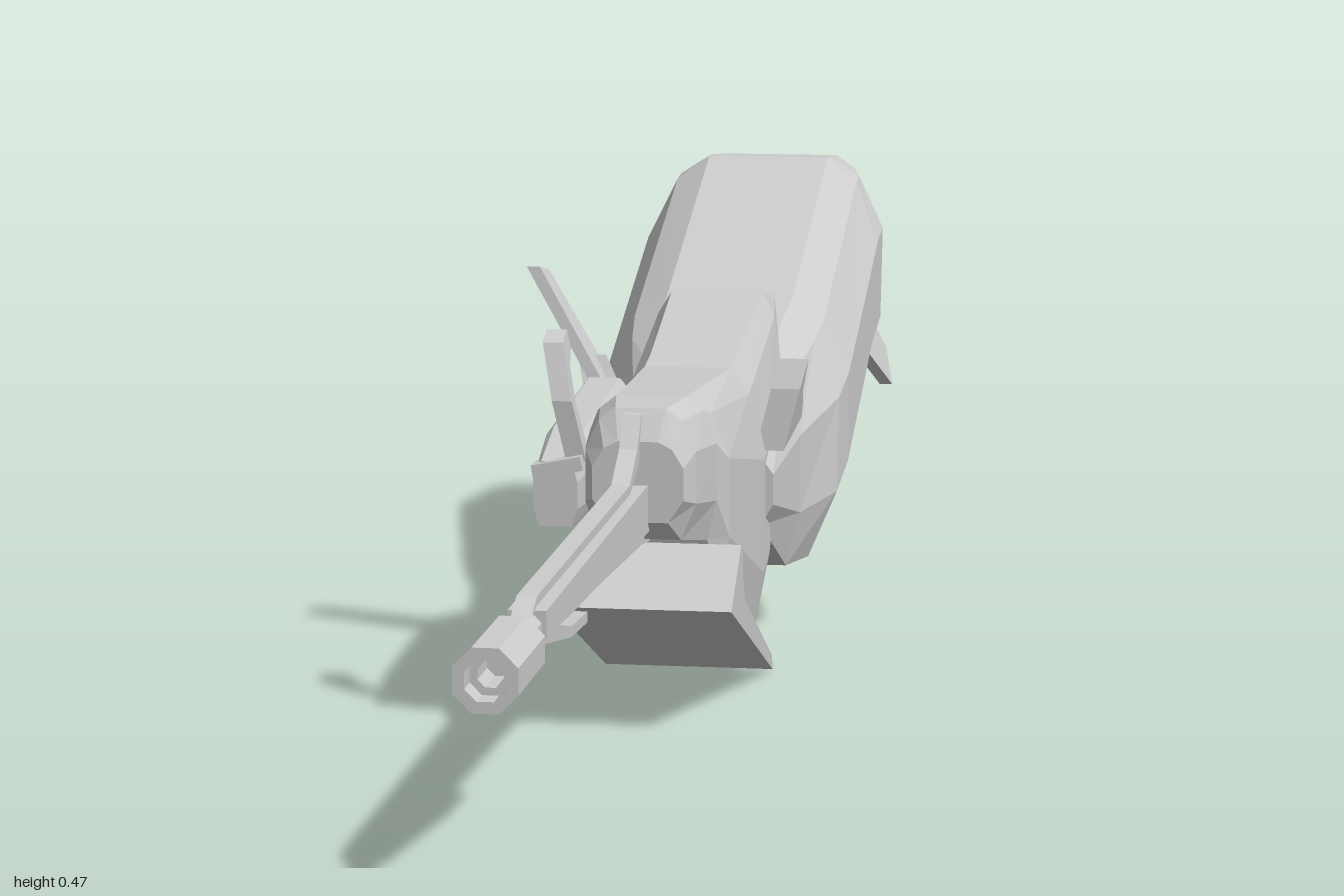
import * as THREE from 'three';

const CX = 0.015; // symmetry plane of the hull
const mat = new THREE.MeshStandardMaterial({ color: 0xcccccc, flatShading: true, side: THREE.DoubleSide });

function add(group, name, geo) {
  const m = new THREE.Mesh(geo, mat);
  m.name = name;
  group.add(m);
  return m;
}

// Ten-sided loft running backwards.
// Ring: [topZ, topY, bottomZ, bottomY, halfWidth, topHalfWidth, bottomHalfWidth]
function loft(rings, cx = CX) {
  const loops = rings.map(([tz, ty, bz, by, w, wt, wb]) => {
    const half = [[wt, 0], [wt + (w - wt) * 0.55, 0.09], [w, 0.32], [w, 0.72], [wb, 1]];
    const all = [...half, ...half.slice().reverse().map(([x, t]) => [-x, t])];
    return all.map(([x, t]) => [cx + x, ty + (by - ty) * t, tz + (bz - tz) * t]);
  });
  const n = 10, pos = [], tri = (...p) => p.forEach(v => pos.push(...v));
  for (let i = 0; i + 1 < loops.length; i++) {
    for (let j = 0; j < n; j++) {
      const k = (j + 1) % n, A = loops[i], B = loops[i + 1];
      tri(A[j], A[k], B[j]);
      tri(A[k], B[k], B[j]);
    }
  }
  const F = loops[0], R = loops[loops.length - 1];
  for (let j = 1; j < n - 1; j++) {
    tri(F[0], F[j + 1], F[j]);
    tri(R[0], R[j], R[j + 1]);
  }
  const g = new THREE.BufferGeometry();
  g.setAttribute('position', new THREE.Float32BufferAttribute(pos, 3));
  g.computeVertexNormals();
  return g;
}

// Side profile of [z, y] points extruded from x0 to x1, leaning sideways above y0
function slab(pts, x0, x1, lean = 0, y0 = 0) {
  const shape = new THREE.Shape(pts.map(p => new THREE.Vector2(...p)));
  const g = new THREE.ExtrudeGeometry(shape, { depth: x1 - x0, bevelEnabled: false });
  g.rotateY(-Math.PI / 2).translate(x1, 0, 0);
  const p = g.attributes.position;
  for (let i = 0; i < p.count; i++) p.setX(i, p.getX(i) + lean * (p.getY(i) - y0));
  g.computeVertexNormals();
  return g;
}

// Same slab on both sides of the hull
function pair(group, name, pts, x0, x1, lean, y0) {
  add(group, name + 'Left', slab(pts, x0, x1, lean, y0));
  add(group, name + 'Right', slab(pts, 2 * CX - x1, 2 * CX - x0, -lean, y0));
}

// Octagonal turned part along z, from [radius, z] points
function turned(pts, x, y) {
  const g = new THREE.LatheGeometry(pts.map(p => new THREE.Vector2(...p)), 8, Math.PI / 8);
  return g.rotateX(Math.PI / 2).translate(x, y, 0);
}

export function createModel() {
  const g = new THREE.Group();
  g.name = 'gunCraft';

  // Large rear hull
  add(g, 'rearHull', loft([
    [-0.16, 0.235, -0.16, 0.155, 0.088, 0.06, 0.075],
    [-0.30, 0.295, -0.30, 0.085, 0.10, 0.06, 0.085],
    [-0.42, 0.335, -0.38, 0.08, 0.13, 0.065, 0.10],
    [-0.47, 0.352, -0.45, 0.105, 0.135, 0.07, 0.10],
    [-0.82, 0.47, -0.66, 0.187, 0.135, 0.07, 0.10],
    [-0.84, 0.47, -0.79, 0.215, 0.135, 0.07, 0.10],
    [-0.965, 0.457, -0.92, 0.295, 0.105, 0.065, 0.075],
    [-1.0, 0.40, -0.985, 0.365, 0.07, 0.055, 0.055],
  ]));

  // Forward body
  add(g, 'forwardBody', loft([
    [0.21, 0.305, 0.21, 0.225, 0.045, 0.02, 0.03],
    [0.19, 0.335, 0.19, 0.205, 0.055, 0.025, 0.04],
    [0.12, 0.336, 0.11, 0.19, 0.065, 0.035, 0.055],
    [0.10, 0.335, 0.09, 0.135, 0.075, 0.035, 0.065],
    [-0.14, 0.325, -0.15, 0.022, 0.08, 0.045, 0.065],
    [-0.18, 0.332, -0.20, 0.035, 0.08, 0.045, 0.06],
    [-0.37, 0.372, -0.28, 0.11, 0.075, 0.05, 0.055],
    [-0.47, 0.355, -0.40, 0.25, 0.055, 0.05, 0.045],
  ]));

  // Slanted belly plate with turned-up lip
  add(g, 'bellyPlate', slab([
    [0.19, 0.134], [0.115, 0.187], [0.10, 0.175], [0.10, 0.15], [0.085, 0.125],
    [-0.14, 0.02], [-0.145, 0.004],
  ], -0.073, 0.105));

  // Shoulder pylons and tail fins
  pair(g, 'pylon', [
    [-0.16, 0.235], [-0.165, 0.30], [-0.18, 0.33], [-0.215, 0.29], [-0.25, 0.275], [-0.29, 0.25],
  ], 0.085, 0.115, 0.25, 0.24);
  pair(g, 'tailFin', [
    [-0.79, 0.25], [-0.87, 0.195], [-0.945, 0.228], [-0.92, 0.30], [-0.81, 0.32],
  ], 0.105, 0.12, -0.45, 0.28);

  // Equipment pod on the right side, with its mast and hook
  add(g, 'sidePod', loft([
    [0.19, 0.28, 0.19, 0.215, 0.022, 0.014, 0.016],
    [0.10, 0.30, 0.10, 0.205, 0.03, 0.016, 0.02],
    [-0.12, 0.315, -0.12, 0.20, 0.03, 0.016, 0.02],
    [-0.18, 0.30, -0.18, 0.22, 0.02, 0.012, 0.014],
  ], -0.07));
  add(g, 'mast', slab([
    [-0.14, 0.27], [-0.158, 0.425], [-0.192, 0.418], [-0.195, 0.27],
  ], -0.08, -0.066, -0.58, 0.29));
  add(g, 'hook', slab([
    [0.185, 0.28], [0.19, 0.34], [0.17, 0.395], [0.135, 0.403], [0.135, 0.385], [0.16, 0.37],
    [0.172, 0.335], [0.16, 0.28],
  ], -0.06, -0.04, -0.22, 0.28));
  const bar = add(g, 'hookBrace', new THREE.BoxGeometry(0.05, 0.014, 0.03));
  bar.position.set(-0.067, 0.275, 0.185);
  bar.rotation.z = 0.2;

  // Long gun: barrel, rails and claw
  add(g, 'barrel', slab([
    [0.19, 0.262], [0.80, 0.258], [0.80, 0.235], [0.66, 0.228], [0.21, 0.215], [0.19, 0.215],
  ], -0.009, 0.025));
  add(g, 'topRail', slab([
    [0.17, 0.335], [0.20, 0.33], [0.225, 0.30], [0.275, 0.273], [0.80, 0.271], [0.83, 0.258],
    [0.80, 0.263], [0.27, 0.264], [0.215, 0.285], [0.17, 0.29],
  ], -0.001, 0.017));
  add(g, 'lowerRail', slab([
    [0.11, 0.205], [0.16, 0.197], [0.21, 0.203], [0.52, 0.218], [0.52, 0.226], [0.11, 0.222],
  ], -0.003, 0.019));
  add(g, 'claw', slab([
    [0.81, 0.24], [0.77, 0.222], [0.62, 0.197], [0.53, 0.192], [0.53, 0.202], [0.62, 0.207],
    [0.70, 0.225], [0.74, 0.24],
  ], -0.001, 0.017));

  // Neck and hollow muzzle
  add(g, 'neck', turned([[0, 0.78], [0.014, 0.78], [0.014, 0.82], [0.01, 0.83], [0.01, 0.87], [0, 0.87]], 0.008, 0.242));
  add(g, 'muzzle', turned([
    [0, 0.865], [0.026, 0.865], [0.03, 0.87], [0.03, 1.0], [0.019, 1.0], [0.019, 0.975],
    [0.012, 0.975], [0.012, 0.93], [0, 0.93],
  ], 0.008, 0.24));

  return g;
}
